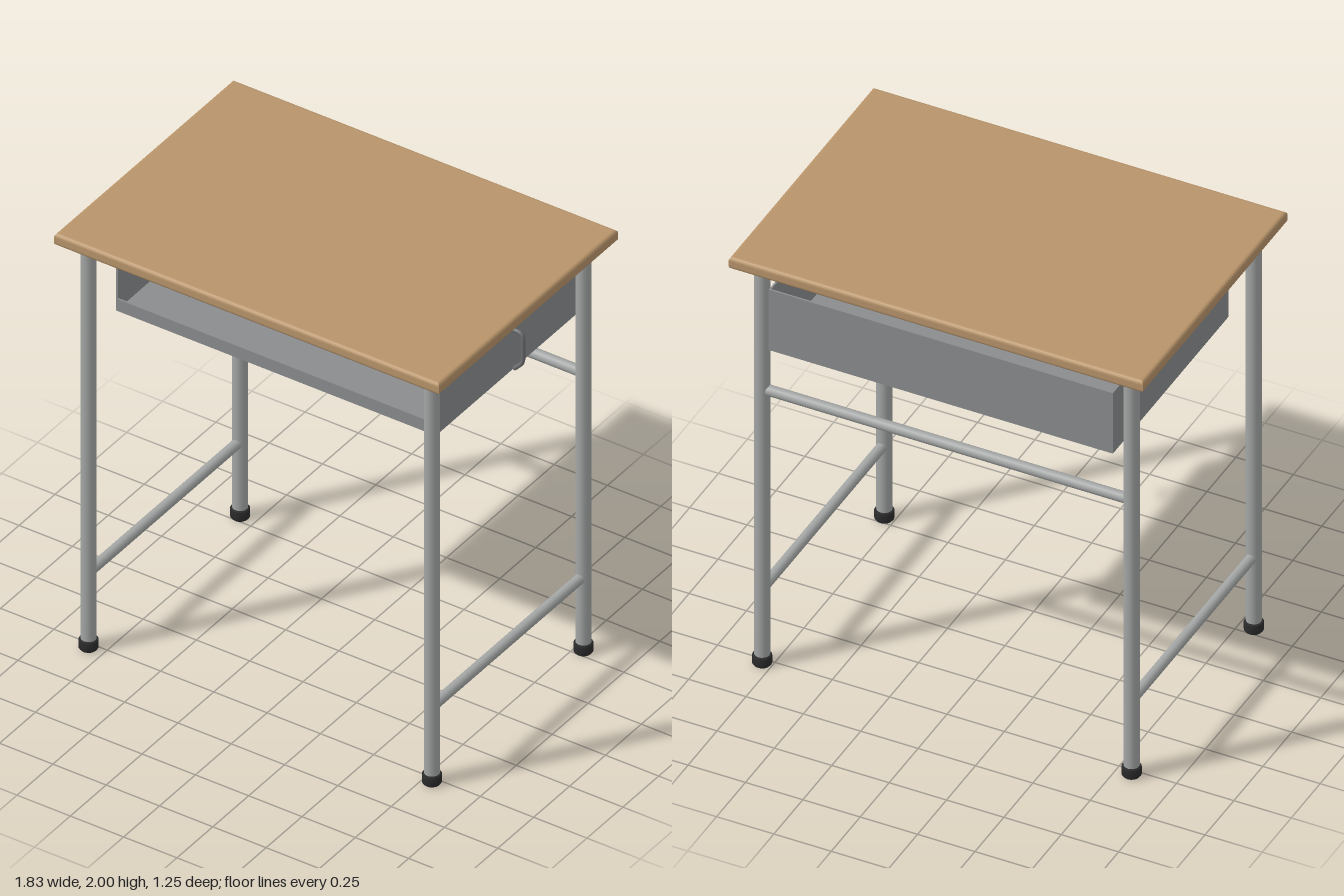
import * as THREE from 'three';

const mat = (name, color) => {
  const m = new THREE.MeshStandardMaterial({ color });
  m.name = name;
  return m;
};

export function createModel() {
  const wood = mat('wood', 0xb8946a);
  const steel = mat('steel', 0xa3a6a5);
  const trayGrey = mat('trayGrey', 0x8a8c8e);
  const rubber = mat('rubber', 0x2b2b2b);
  const hookSteel = mat('hookSteel', 0x6e7072);

  const model = new THREE.Group();
  model.name = 'schoolDesk';

  const add = (name, geometry, material, x = 0, y = 0, z = 0) => {
    const mesh = new THREE.Mesh(geometry, material);
    mesh.name = name;
    mesh.position.set(x, y, z);
    model.add(mesh);
    return mesh;
  };
  // box given by its minimum and maximum corners
  const box = (name, material, x0, x1, y0, y1, z0, z1) =>
    add(name, new THREE.BoxGeometry(x1 - x0, y1 - y0, z1 - z0), material,
      (x0 + x1) / 2, (y0 + y1) / 2, (z0 + z1) / 2);

  const midX = -0.0135, legX = 0.805, legZ = 0.528;

  // tabletop with rounded long edges and square plan corners
  const hw = 0.903, hd = 0.625, bevel = 0.016, thick = 0.056;
  const w = hw - bevel, d = hd - bevel;
  const plan = new THREE.Shape([
    new THREE.Vector2(-w, -d), new THREE.Vector2(w, -d),
    new THREE.Vector2(w, d), new THREE.Vector2(-w, d),
  ]);
  const topGeo = new THREE.ExtrudeGeometry(plan, {
    depth: thick - 2 * bevel, bevelSize: bevel, bevelThickness: bevel, bevelSegments: 4,
  });
  topGeo.rotateX(-Math.PI / 2);
  add('tabletop', topGeo, wood, midX, 2 - thick + bevel, 0);

  // legs with rubber feet
  const footProfile = [[0, 0], [0.034, 0], [0.04, 0.008], [0.04, 0.042], [0.034, 0.05], [0, 0.05]]
    .map(([r, y]) => new THREE.Vector2(r, y));
  for (const sx of [-1, 1]) {
    for (const sz of [-1, 1]) {
      const x = midX + sx * legX, z = sz * legZ;
      add('leg', new THREE.CylinderGeometry(0.032, 0.032, 1.87, 16), steel, x, 0.975, z);
      add('foot', new THREE.LatheGeometry(footProfile, 16), rubber, x, 0, z);
    }
    // low side stretcher
    const bar = new THREE.CylinderGeometry(0.022, 0.022, 2 * legZ - 0.04, 14);
    add('sideStretcher', bar.rotateX(Math.PI / 2), steel, midX + sx * legX, 0.363, 0);
  }

  // rear stretcher
  const rear = new THREE.CylinderGeometry(0.023, 0.023, 2 * legX - 0.04, 14);
  add('rearStretcher', rear.rotateZ(Math.PI / 2), steel, midX, 1.335, -legZ);

  // top frame: one closed tube with bent corners
  const fx = 0.798, fz = 0.523, r = 0.05;
  const frame = new THREE.CurvePath();
  const V = (x, z) => new THREE.Vector3(x, 0, z);
  const corners = [V(-fx, -fz), V(fx, -fz), V(fx, fz), V(-fx, fz)];
  corners.forEach((c, i) => {
    const prev = corners[(i + 3) % 4], next = corners[(i + 1) % 4];
    const toward = (p) => c.clone().add(p.clone().sub(c).setLength(r));
    const a = toward(prev), b = toward(next);
    frame.add(new THREE.QuadraticBezierCurve3(a, c, b));
    frame.add(new THREE.LineCurve3(b, next.clone().add(c.clone().sub(next).setLength(r))));
  });
  add('topFrame', new THREE.TubeGeometry(frame, 240, 0.03, 12, true), steel, midX, 1.913, 0);

  // open-fronted book tray
  const x0 = -0.763, x1 = 0.737, y0 = 1.573, y1 = 1.866, z0 = -0.58, z1 = 0.42, t = 0.008;
  box('trayFloor', trayGrey, x0, x1, y0, y0 + t, z0, z1);
  box('trayBack', trayGrey, x0, x1, y0 + t, y1, z0, z0 + t);
  box('trayLip', trayGrey, x0 + t, x1 - t, y0 + t, 1.63, z1 - t, z1);
  box('traySide', trayGrey, x0, x0 + t, y0 + t, y1, z0 + t, z1 - 0.002);
  box('traySide', trayGrey, x1 - t, x1, y0 + t, y1, z0 + t, z1 - 0.002);

  // hangers from the frame to the tray
  for (const sx of [-1, 1]) {
    for (const z of [-0.4, 0.36]) {
      const inner = midX + sx * 0.742, outer = midX + sx * 0.775;
      box('trayHanger', steel, Math.min(inner, outer), Math.max(inner, outer), 1.84, 1.9, z - 0.03, z + 0.03);
    }
  }

  // bag hook and its saddle on the side rail
  const hz = 0.057;
  box('hookSaddleTop', steel, 0.735, 0.818, 1.938, 1.944, hz - 0.04, hz + 0.04);
  box('hookSaddlePlate', steel, 0.814, 0.82, 1.868, 1.944, hz - 0.04, hz + 0.04);
  const path = new THREE.CurvePath();
  const H = (x, y) => new THREE.Vector3(x, y, hz);
  path.add(new THREE.LineCurve3(H(0.76, 1.913), H(0.875, 1.913)));
  path.add(new THREE.QuadraticBezierCurve3(H(0.875, 1.913), H(0.902, 1.913), H(0.902, 1.885)));
  path.add(new THREE.LineCurve3(H(0.902, 1.885), H(0.902, 1.79)));
  path.add(new THREE.QuadraticBezierCurve3(H(0.902, 1.79), H(0.902, 1.772), H(0.89, 1.76)));
  path.add(new THREE.LineCurve3(H(0.89, 1.76), H(0.864, 1.732)));
  add('bagHook', new THREE.TubeGeometry(path, 48, 0.009, 8), hookSteel);
  add('hookTip', new THREE.SphereGeometry(0.009, 8, 6), hookSteel, 0.864, 1.732, hz);

  return model;
}
